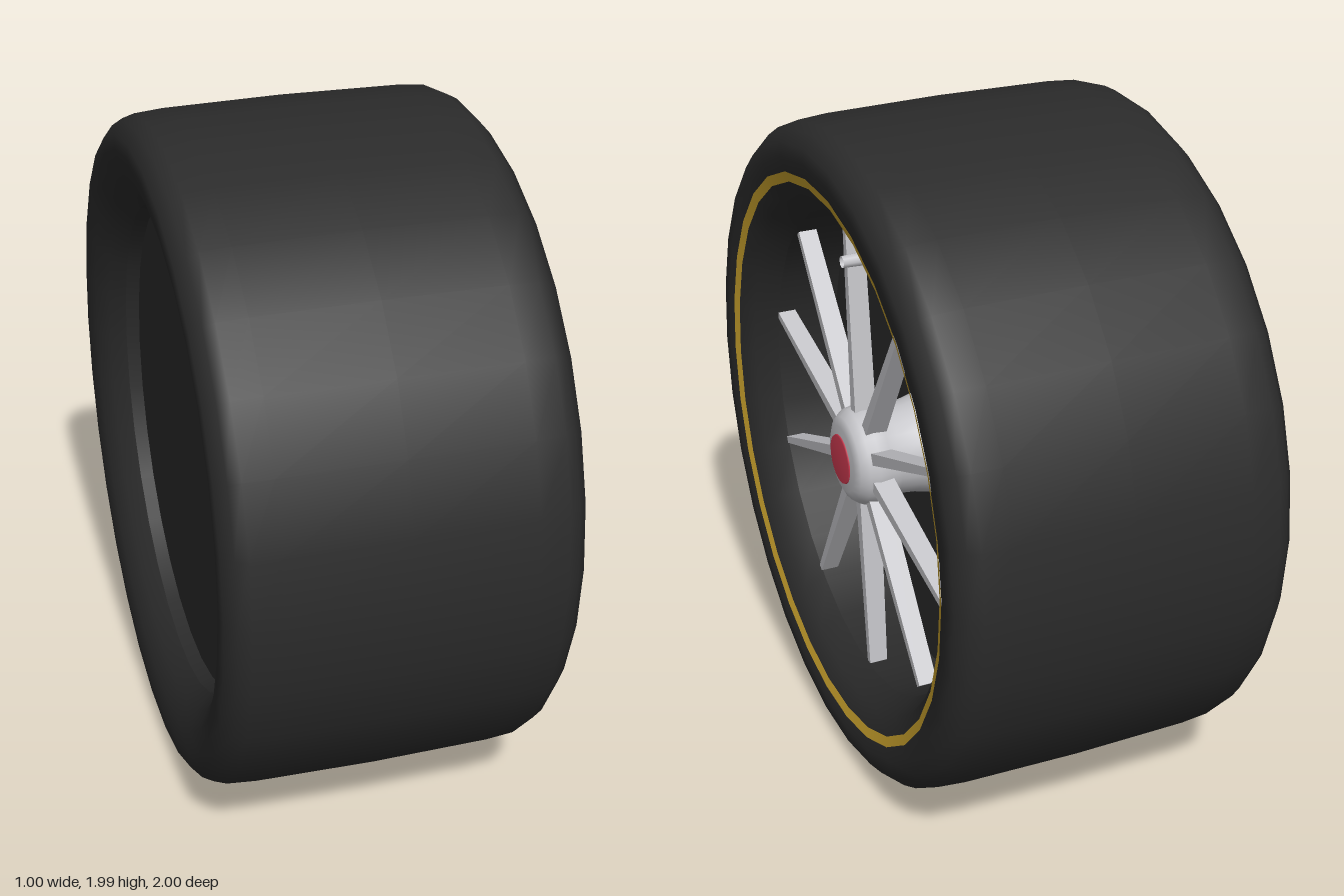
import * as THREE from 'three';

const mat = (name, color, side = THREE.FrontSide) => {
  const m = new THREE.MeshStandardMaterial({ color, side });
  m.name = name;
  return m;
};

const SIDES = 30;

export function createModel() {
  const rubber = mat('black rubber', 0x2b2b2b);
  const gold = mat('gold stripe', 0xcfa62e);
  const silver = mat('silver metal', 0xc6c6ca, THREE.DoubleSide);
  const red = mat('red cap', 0xd23c52);

  const model = new THREE.Group();
  model.name = 'wheel';
  const wheel = new THREE.Group();
  wheel.name = 'wheelParts';
  wheel.position.y = Math.cos(Math.PI / SIDES); // flat of the polygon rests on the ground
  model.add(wheel);

  const add = (name, geometry, material, parent = wheel) => {
    const mesh = new THREE.Mesh(geometry, material);
    mesh.name = name;
    parent.add(mesh);
    return mesh;
  };

  // Surface of revolution about x, from [radius, x] points
  const turned = (name, points, material, sides = SIDES) =>
    add(name, new THREE.LatheGeometry(points.map(([r, x]) => new THREE.Vector2(r, x)), sides)
      .rotateZ(-Math.PI / 2), material);

  // Tyre with rounded shoulders, its side walls rolling in to the rim
  turned('tyre', [
    [0.727, -0.41], [0.77, -0.455], [0.83, -0.488], [0.89, -0.5], [0.935, -0.498],
    [0.97, -0.468], [0.988, -0.435], [0.995, -0.35], [1, 0], [0.995, 0.35], [0.988, 0.435],
    [0.97, 0.468], [0.935, 0.498], [0.89, 0.5], [0.83, 0.488], [0.77, 0.455], [0.727, 0.39],
  ], rubber);
  turned('sidewallStripe', [[0.85, 0.497], [0.82, 0.489]], gold);

  // Rim: recessed disc at the back, deep dish at the front
  turned('backDisc', [[0, -0.37], [0.715, -0.37]], rubber);
  turned('backRimWall', [[0.715, -0.37], [0.727, -0.41]], rubber);
  turned('frontRimWall', [[0.727, 0.39], [0.722, 0.2]], rubber);
  turned('frontDisc', [[0.722, 0.2], [0, 0.2]], rubber);

  // Hub with a waist and rounded nose
  turned('hub', [
    [0.15, 0.2], [0.138, 0.25], [0.132, 0.31], [0.145, 0.35], [0.15, 0.385],
    [0.143, 0.415], [0.125, 0.438], [0.1, 0.45], [0, 0.453],
  ], silver, 24);
  turned('hubCap', [[0.075, 0.453], [0.073, 0.458], [0, 0.458]], red, 24);

  // Ten tapered spokes
  const spokes = new THREE.Group();
  spokes.name = 'spokes';
  wheel.add(spokes);
  const inner = 0.11, outer = 0.697;
  const bar = new THREE.BoxGeometry(0.065, outer - inner, 0.036);
  const p = bar.attributes.position;
  for (let i = 0; i < p.count; i++) {
    if (p.getY(i) > 0) p.setXYZ(i, p.getX(i) * 0.85, p.getY(i), p.getZ(i) * 0.6);
  }
  bar.computeVertexNormals();
  bar.translate(0.375, (inner + outer) / 2, 0);
  for (let i = 0; i < 10; i++) {
    add('spoke', bar, silver, spokes).rotation.x = THREE.MathUtils.degToRad(4 + 36 * i);
  }

  // Tyre valve: small open tube
  const valve = add('valve', new THREE.CylinderGeometry(0.018, 0.021, 0.08, 8, 1, true)
    .rotateZ(-Math.PI / 2), silver);
  valve.position.set(0.39, 0.62, 0);

  return model;
}
